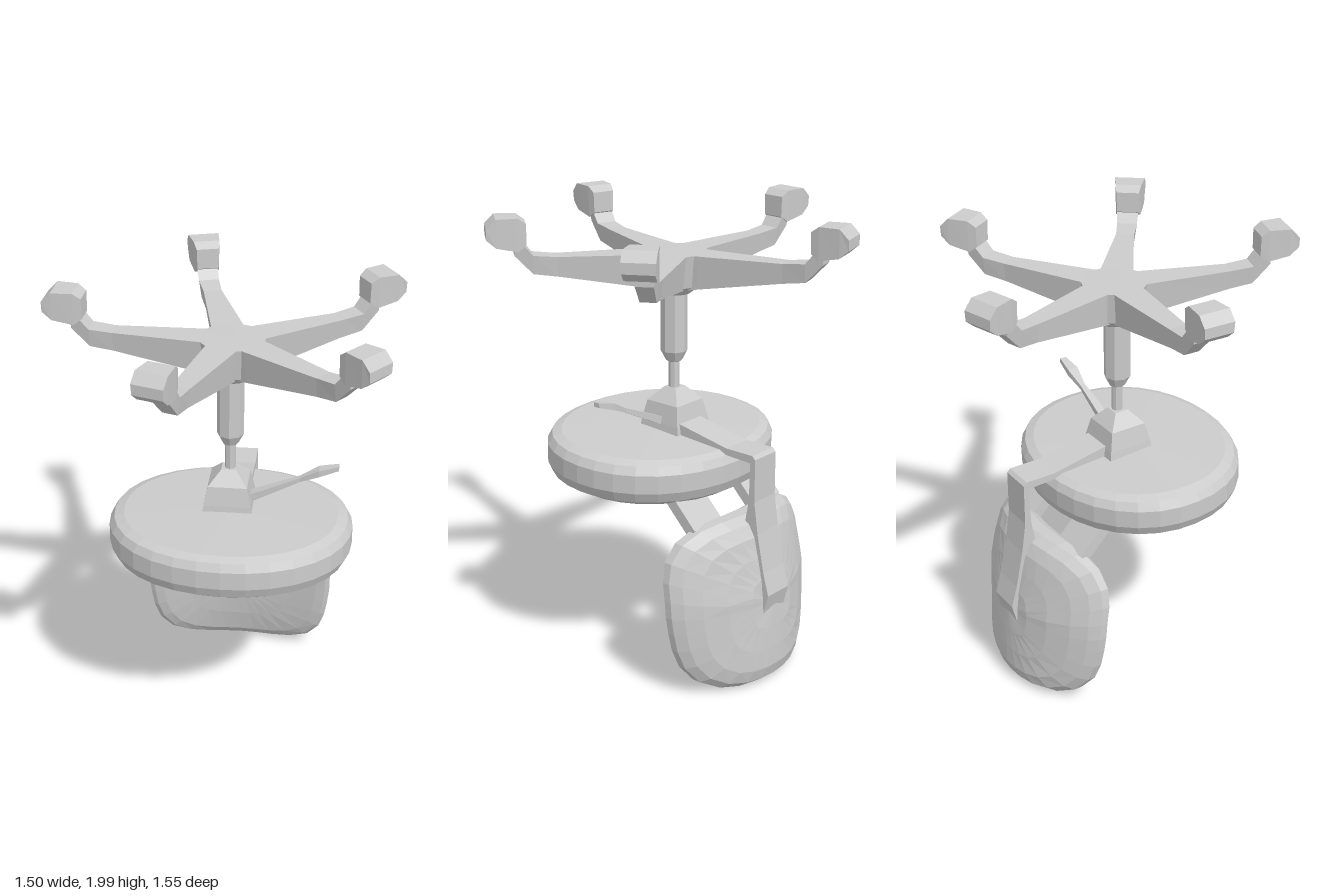
import * as THREE from 'three';

const material = new THREE.MeshStandardMaterial({ color: 0xcccccc, flatShading: true });
const CX = 0.04; // axis of the chair

function add(parent, name, geometry, x = 0, y = 0, z = 0) {
  const mesh = new THREE.Mesh(geometry, material);
  mesh.name = name;
  mesh.position.set(x, y, z);
  parent.add(mesh);
  return mesh;
}

function lathe(points, segments) {
  return new THREE.LatheGeometry(points.map(([r, y]) => new THREE.Vector2(r, y)), segments);
}

// Beam along +x with four-sided sections [x, bottom, top, halfWidth]
function beam(sections, taper = 0.75) {
  const loops = sections.map(([x, b, t, w]) => [
    [x, t, -w], [x, t, w], [x, b, w * taper], [x, b, -w * taper],
  ]);
  const pos = [];
  const quad = (a, b, c, d) => pos.push(...a, ...b, ...c, ...a, ...c, ...d);
  for (let s = 0; s < loops.length - 1; s++) {
    for (let i = 0; i < 4; i++) {
      const j = (i + 1) % 4;
      quad(loops[s][i], loops[s][j], loops[s + 1][j], loops[s + 1][i]);
    }
  }
  quad(...[...loops[0]].reverse());
  quad(...loops[loops.length - 1]);
  const g = new THREE.BufferGeometry();
  g.setAttribute('position', new THREE.Float32BufferAttribute(pos, 3));
  g.computeVertexNormals();
  return g;
}

// Padded disc whose outline is a superellipse of half sizes rx, rz
function cushion(profile, rx, rz, power) {
  const g = lathe(profile, 32);
  const p = g.attributes.position;
  for (let i = 0; i < p.count; i++) {
    const x = p.getX(i), z = p.getZ(i);
    const a = Math.atan2(z, x);
    const k = (Math.abs(Math.cos(a)) ** power + Math.abs(Math.sin(a)) ** power) ** (-1 / power);
    p.setX(i, x * k * rx);
    p.setZ(i, z * k * rz);
  }
  return g;
}

function makeBackrest() {
  const g = cushion([
    [0, -0.075], [0.3, -0.075], [0.55, -0.074], [0.78, -0.07], [0.92, -0.05], [0.99, -0.01],
    [0.99, 0.045], [0.94, 0.08], [0.84, 0.105], [0.55, 0.12], [0.3, 0.125], [0, 0.125],
  ], 0.438, 0.381, 3.6);
  g.rotateX(Math.PI / 2);
  // Curve the back strongly and the front gently, lean the top forward, narrow the lower end
  const p = g.attributes.position;
  for (let i = 0; i < p.count; i++) {
    const x = p.getX(i), y = p.getY(i), z = p.getZ(i);
    const bend = 0.14 - 0.4 * z;
    const lean = y < 0 ? 0.08 * y : 0.2 * Math.max(0, y - 0.04);
    p.setZ(i, z + bend * (x / 0.435) ** 2 + lean);
    p.setX(i, x * (y < 0 ? 1 + 0.22 * y : 1));
  }
  g.computeVertexNormals();
  return g;
}

export function createModel() {
  const chair = new THREE.Group();
  chair.name = 'upturnedSwivelChair';

  // Seat, slightly tilted
  const seat = add(chair, 'seat', cushion([
    [0, -0.105], [0.6, -0.11], [0.86, -0.105], [0.96, -0.075], [1, -0.03],
    [1, 0.05], [0.96, 0.085], [0.88, 0.1], [0, 0.11],
  ], 0.53, 0.45, 2.12), 0.045, 0.945, 0.08);
  seat.rotation.x = -0.035;

  add(chair, 'backrest', makeBackrest(), 0.045, 0.384, -0.495);

  // Cranked bar joining the seat mechanism to the backrest
  const side = new THREE.Shape([
    [-0.05, 1.1], [-0.35, 1.045], [-0.49, 1.045], [-0.505, 1.03], [-0.505, 0.84], [-0.525, 0.7],
    [-0.56, 0.53], [-0.588, 0.43], [-0.565, 0.34], [-0.5, 0.36], [-0.45, 0.7], [-0.475, 0.84],
    [-0.48, 1.01], [-0.35, 1.015], [-0.05, 1.02],
  ].map(([z, y]) => new THREE.Vector2(z, y)));
  const bar = new THREE.ExtrudeGeometry(side, { depth: 0.14, bevelEnabled: false });
  bar.translate(0, 0, -0.07).rotateY(-Math.PI / 2);
  add(chair, 'backBar', bar, 0.045);

  // Pair of struts between seat and backrest
  for (const s of [-1, 1]) {
    const strut = add(chair, 'backStrut', new THREE.BoxGeometry(0.18, 0.19, 0.05),
      0.045 + s * 0.2, 0.79, -0.28);
    strut.rotation.set(0.78, 0, 0);
  }

  // Tilt mechanism and its lever
  const mechanism = lathe([[0, 1.03], [0.155, 1.03], [0.145, 1.08], [0.12, 1.165], [0.045, 1.225], [0, 1.225]], 4);
  mechanism.rotateY(Math.PI / 4);
  add(chair, 'mechanism', mechanism, 0.03, 0, 0.01);
  add(chair, 'lever', beam([
    [0.1, 1.06, 1.1, 0.025], [0.34, 1.18, 1.2, 0.012], [0.42, 1.215, 1.245, 0.025], [0.505, 1.245, 1.265, 0.015],
  ], 1), 0, 0, 0.025);

  // Gas lift column
  add(chair, 'column', lathe([
    [0, 1.2], [0.024, 1.2], [0.024, 1.34], [0.035, 1.345], [0.058, 1.39], [0.058, 1.68], [0, 1.68],
  ], 8), CX - 0.005, 0, 0.01);

  // Five-armed base with casters
  const base = new THREE.Group();
  base.name = 'base';
  base.position.x = CX;
  chair.add(base);
  add(base, 'hub', lathe([[0, 1.65], [0.07, 1.65], [0.12, 1.69], [0.145, 1.83], [0, 1.832]], 10));
  const armShape = beam([
    [0, 1.66, 1.83, 0.07], [0.13, 1.685, 1.83, 0.068], [0.5, 1.745, 1.83, 0.04],
    [0.6, 1.76, 1.84, 0.045], [0.675, 1.84, 1.93, 0.05],
  ]);
  const casterShape = beam([
    [0.625, 1.885, 1.975, 0.05], [0.66, 1.86, 2, 0.058], [0.75, 1.88, 2, 0.068], [0.79, 1.915, 1.96, 0.068],
  ], 0.95);
  const tips = [[-0.74, -0.05], [-0.17, -0.75], [0.71, -0.405], [0.645, 0.49], [-0.2, 0.745]];
  for (const [x, z] of tips) {
    const leg = new THREE.Group();
    leg.name = 'baseLeg';
    leg.rotation.y = -Math.atan2(z, x - CX);
    base.add(leg);
    add(leg, 'arm', armShape);
    add(leg, 'caster', casterShape);
  }
  return chair;
}
